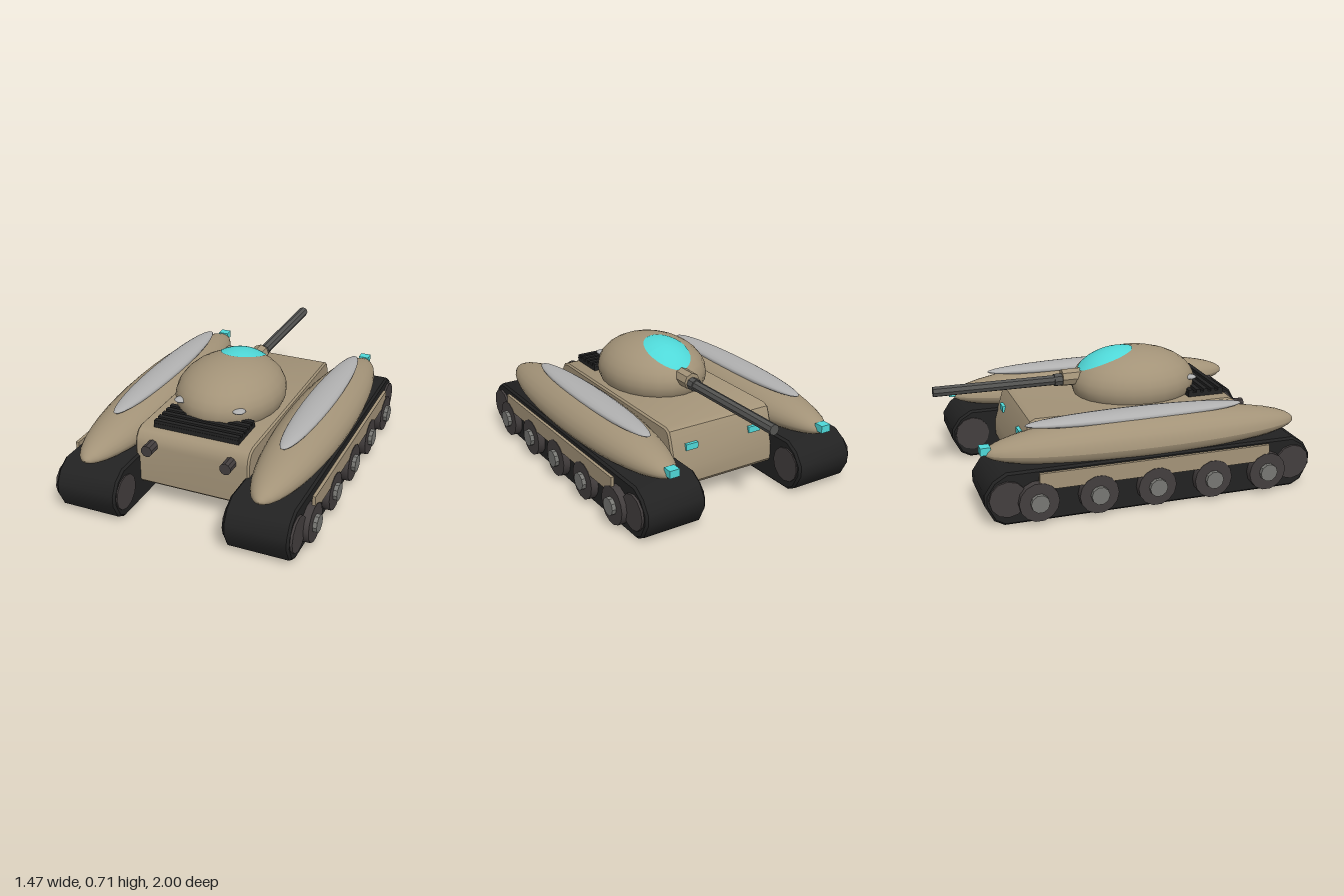
import * as THREE from 'three';
import { toCreasedNormals } from 'three/addons/utils/BufferGeometryUtils.js';

function makeMaterial(name, color) {
  const m = new THREE.MeshStandardMaterial({ color });
  m.name = name;
  return m;
}

export function createModel() {
  const tan = makeMaterial('tan armour', 0xa39378);
  const black = makeMaterial('track black', 0x222222);
  const steel = makeMaterial('wheel steel', 0x433e3e);
  const gunmetal = makeMaterial('gunmetal', 0x545452);
  const hubGrey = makeMaterial('hub grey', 0x777773);
  const silver = makeMaterial('silver', 0xb0b0b0);
  const cyan = makeMaterial('cyan glass', 0x4fd8d8);

  const model = new THREE.Group();
  model.name = 'tank';

  function add(name, geometry, material, x = 0, y = 0, z = 0, parent = model) {
    const mesh = new THREE.Mesh(geometry, material);
    mesh.name = name;
    mesh.position.set(x, y, z);
    parent.add(mesh);
    return mesh;
  }
  const box = (w, h, d) => new THREE.BoxGeometry(w, h, d);
  // Cylinder lying along x or z
  function rod(radius, length, sides, axis) {
    const g = new THREE.CylinderGeometry(radius, radius, length, sides);
    if (axis === 'x') g.rotateZ(Math.PI / 2);
    else g.rotateX(Math.PI / 2);
    return toCreasedNormals(g, sides > 10 ? 0.6 : 0.5);
  }
  // Side profile of [z, y] points, extruded across x and centred
  function sideExtrude(points, width, bevel) {
    const shape = new THREE.Shape(points.map(([z, y]) => new THREE.Vector2(-z, y)));
    const g = new THREE.ExtrudeGeometry(shape, {
      depth: width - 2 * bevel, bevelThickness: bevel, bevelSize: bevel,
      bevelOffset: -bevel, bevelSegments: 1,
    });
    g.translate(0, 0, bevel - width / 2);
    g.rotateY(Math.PI / 2);
    return toCreasedNormals(g, 0.6);
  }
  // Ellipsoid with its poles on the z axis
  function ellipsoid(rx, ry, rz, around = 20, along = 16) {
    const g = new THREE.SphereGeometry(1, around, along);
    g.rotateX(Math.PI / 2);
    g.scale(rx, ry, rz);
    return g;
  }

  // Hull with sloped nose and rounded rear deck
  add('hull', sideExtrude([
    [-0.58, 0.11], [-0.595, 0.13], [-0.595, 0.22], [-0.545, 0.39], [-0.53, 0.425], [-0.5, 0.44],
    [0.64, 0.44], [0.68, 0.425], [0.705, 0.39], [0.712, 0.35], [0.712, 0.13], [0.69, 0.11],
  ], 0.67, 0.01), tan);

  // Engine grille with slats across the rear deck
  add('grilleBase', box(0.5, 0.03, 0.215), black, 0, 0.448, 0.538);
  for (let i = 0; i < 5; i++) {
    add('grilleSlat', box(0.5, 0.02, 0.027), black, 0, 0.47, 0.446 + i * 0.046);
  }

  // Turret
  const turret = { y: 0.5, z: 0.175, rx: 0.305, ry: 0.2, rz: 0.37 };
  add('turret', new THREE.SphereGeometry(1, 24, 16).scale(turret.rx, turret.ry, turret.rz),
    tan, 0, turret.y, turret.z);

  // Glass canopy following the turret surface
  const canopy = new THREE.RingGeometry(0, 1, 24, 6);
  const cp = canopy.attributes.position;
  for (let i = 0; i < cp.count; i++) {
    const u = cp.getX(i), v = cp.getY(i);
    const x = 0.125 * u, z = 0.003 - 0.163 * v;
    const inside = 1 - (x / turret.rx) ** 2 - ((z - turret.z) / turret.rz) ** 2;
    const lift = 0.003 + 0.014 * (1 - u * u - v * v);
    cp.setXYZ(i, x, turret.y + turret.ry * Math.sqrt(Math.max(inside, 0)) + lift, z);
  }
  canopy.computeVertexNormals();
  add('canopy', canopy, cyan);

  // Gun
  add('mantlet', rod(0.05, 0.13, 8, 'z'), tan, 0, 0.55, -0.195);
  add('gunCollar', rod(0.037, 0.07, 8, 'z'), gunmetal, 0, 0.54, -0.27);
  add('gunBarrel', rod(0.03, 0.75, 8, 'z'), gunmetal, 0, 0.54, -0.625);

  // Shared geometry for the mirrored parts
  const belt = sideExtrude([
    [0.9, 0], [0.955, 0.03], [1, 0.12], [1, 0.18], [0.96, 0.25], [0.89, 0.292],
    [-0.74, 0.292], [-0.81, 0.25], [-0.857, 0.18], [-0.857, 0.12], [-0.81, 0.03], [-0.755, 0],
  ], 0.36, 0.012);
  const endWheel = rod(0.1, 0.38, 12, 'x');
  const roadWheel = rod(0.108, 0.06, 14, 'x');
  const hub = rod(0.05, 0.05, 10, 'x');

  // Sponson pod: ellipsoid with a shallow, flat underside
  const pod = ellipsoid(0.19, 0.14, 0.895, 24, 20);
  const pp = pod.attributes.position;
  for (let i = 0; i < pp.count; i++) {
    if (pp.getY(i) < 0) pp.setY(i, Math.max(pp.getY(i) * 0.75, -0.057));
  }
  pod.computeVertexNormals();

  for (const s of [1, -1]) {
    const side = new THREE.Group();
    side.name = s > 0 ? 'leftSide' : 'rightSide';
    model.add(side);

    // Running gear
    add('trackBelt', belt, black, s * 0.49, 0, 0, side);
    for (const z of [0.885, -0.737]) {
      add('endWheel', endWheel, steel, s * 0.493, 0.15, z, side);
    }
    for (let i = 0; i < 5; i++) {
      const z = 0.72 - i * 0.325;
      add('roadWheel', roadWheel, steel, s * 0.682, 0.125, z, side);
      add('wheelHub', hub, hubGrey, s * 0.71, 0.125, z, side);
    }
    add('sideSkirt', box(0.018, 0.092, 1.3), tan, s * 0.7, 0.237, 0.075, side);

    // Pod with silver top panel and nose lamp
    add('sponsonPod', pod, tan, s * 0.495, 0.34, 0.075, side);
    add('podPanel', ellipsoid(0.085, 0.034, 0.622, 16, 16), silver, s * 0.492, 0.468, 0.023, side);
    add('noseLamp', box(0.06, 0.042, 0.056), cyan, s * 0.493, 0.362, -0.815, side);

    // Hull lamp, exhaust and turret vent
    add('hullLamp', box(0.075, 0.036, 0.036), cyan, s * 0.208, 0.33, -0.558, side);
    add('exhaustPipe', rod(0.033, 0.12, 10, 'z'), steel, s * 0.23, 0.36, 0.72, side);
    add('turretVent', ellipsoid(0.038, 0.013, 0.036, 10, 8), silver, s * 0.173, 0.537, 0.468, side);
  }
  return model;
}
